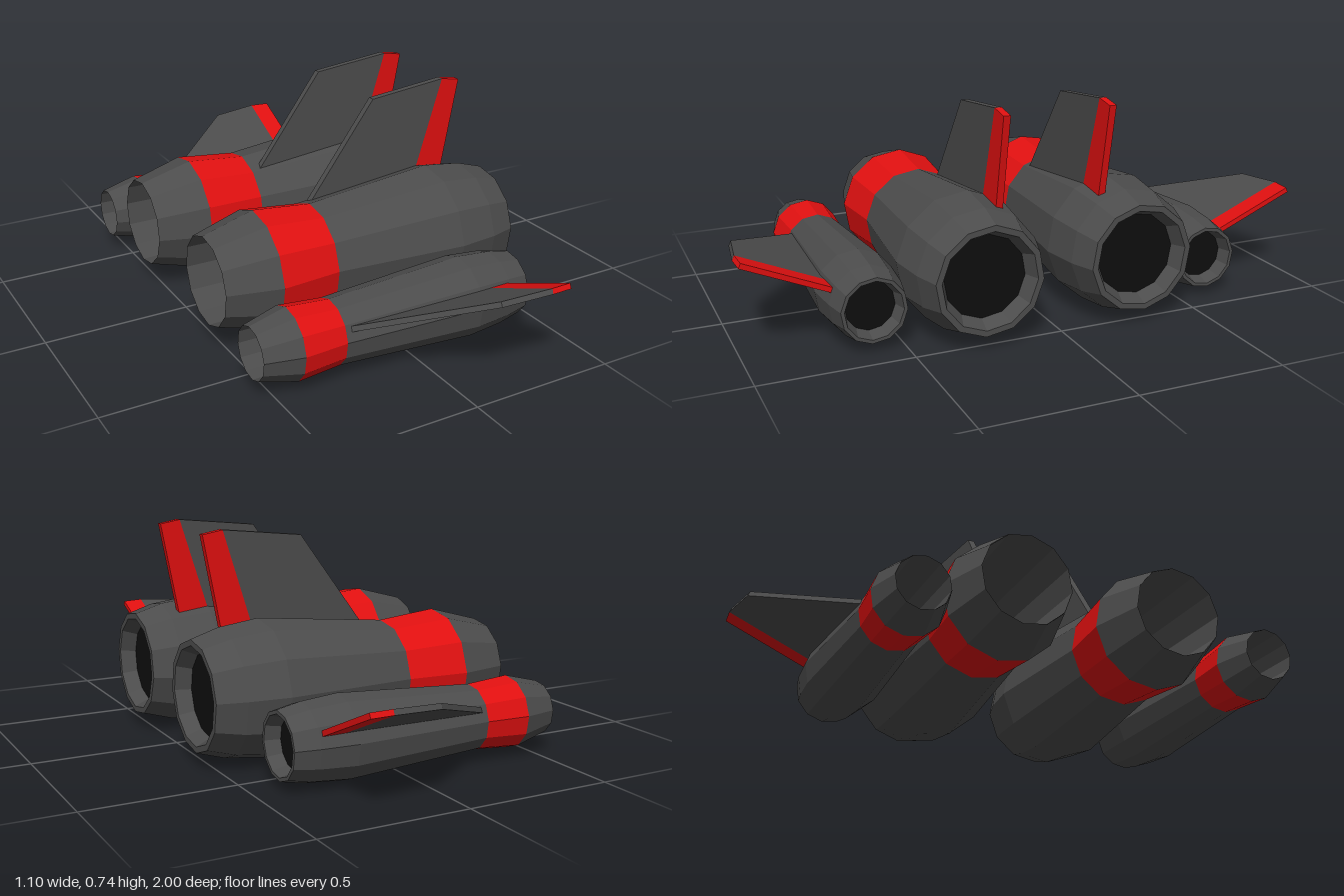
import * as THREE from 'three';

const SIDES = 12;
const mat = (name, color) => {
  const m = new THREE.MeshStandardMaterial({ color, flatShading: true, side: THREE.DoubleSide });
  m.name = name;
  return m;
};

export function createModel() {
  const grey = mat('dark grey', 0x4c4c4c);
  const red = mat('red', 0xe01010);
  const black = mat('black', 0x0e0e0e);
  const model = new THREE.Group();

  const add = (parent, name, geo, material) => {
    const mesh = new THREE.Mesh(geo, material);
    mesh.name = name;
    parent.add(mesh);
  };

  // Faceted tube along x from [x, radius] pairs
  const tube = (pts) => new THREE.LatheGeometry(
    pts.map(([x, r]) => new THREE.Vector2(r, x)), SIDES).rotateZ(-Math.PI / 2);

  // Flat plate in the x-y plane, centred on z = 0
  const plate = (pts, t) => new THREE.ExtrudeGeometry(
    new THREE.Shape(pts.map(([x, y]) => new THREE.Vector2(x, y))),
    { depth: t, bevelEnabled: false }).translate(0, 0, -t / 2);

  // Engine: nose, painted band, flared body, recessed nozzle and inner duct
  const engine = (name, p, y, z, tilt) => {
    const g = new THREE.Group();
    g.name = name;
    const [nose, bandStart, bandEnd, widest, taper, end] = p;
    const deep = end[0] - 0.05;
    const lip = [end[0], end[1] * 0.89];
    const throat = [deep, end[1] * 0.76];
    add(g, 'nose', tube([nose, bandStart]), grey);
    add(g, 'band', tube([bandStart, bandEnd]), red);
    add(g, 'body', tube([bandEnd, widest, taper, end]), grey);
    add(g, 'nozzle', tube([end, lip, throat]), grey);
    add(g, 'duct', tube([[nose[0], nose[1] - 0.001], throat]), grey);
    add(g, 'nozzleCore', tube([throat, [deep, 0]]), black);
    g.position.set(0, y, z);
    g.rotation.x = tilt;
    model.add(g);
  };

  // Fin: grey panel with a red trailing strip
  const fin = (name, panel, strip, t, y, z, lean) => {
    const g = new THREE.Group();
    g.name = name;
    add(g, 'finPanel', plate(panel, t), grey);
    add(g, 'finTrailingEdge', plate(strip, t), red);
    g.position.set(0, y, z);
    g.rotation.x = lean;
    model.add(g);
  };

  const mainProfile = [[-0.54, 0.153], [-0.36, 0.203], [-0.15, 0.182], [0.31, 0.229], [0.45, 0.211], [0.545, 0.182]];
  const podProfile = [[-0.55, 0.088], [-0.425, 0.12], [-0.275, 0.108], [0.21, 0.136], [0.335, 0.125], [0.415, 0.109]];

  for (const s of [1, -1]) {
    const side = s > 0 ? 'front' : 'back';
    engine(side + 'MainEngine', mainProfile, 0.23, 0.267 * s, -0.09 * s);
    engine(side + 'OuterEngine', podProfile, 0.14, 0.602 * s, -0.09 * s);

    // Upright fin on the main engine
    fin(side + 'UprightFin',
      [[-0.117, 0.385], [0.293, 0.385], [0.405, 0.742], [0.125, 0.712]],
      [[0.293, 0.385], [0.408, 0.385], [0.475, 0.73], [0.405, 0.742]],
      0.024, 0, 0.183 * s, 0);

    // Outward fin on the outer engine
    fin(side + 'OutwardFin',
      [[-0.265, 0.095], [0.252, 0.095], [0.26, 0.43], [0.088, 0.405]],
      [[0.252, 0.095], [0.325, 0.095], [0.333, 0.425], [0.26, 0.43]],
      0.018, 0.146, 0.602 * s, 1.157 * s);
  }
  return model;
}
